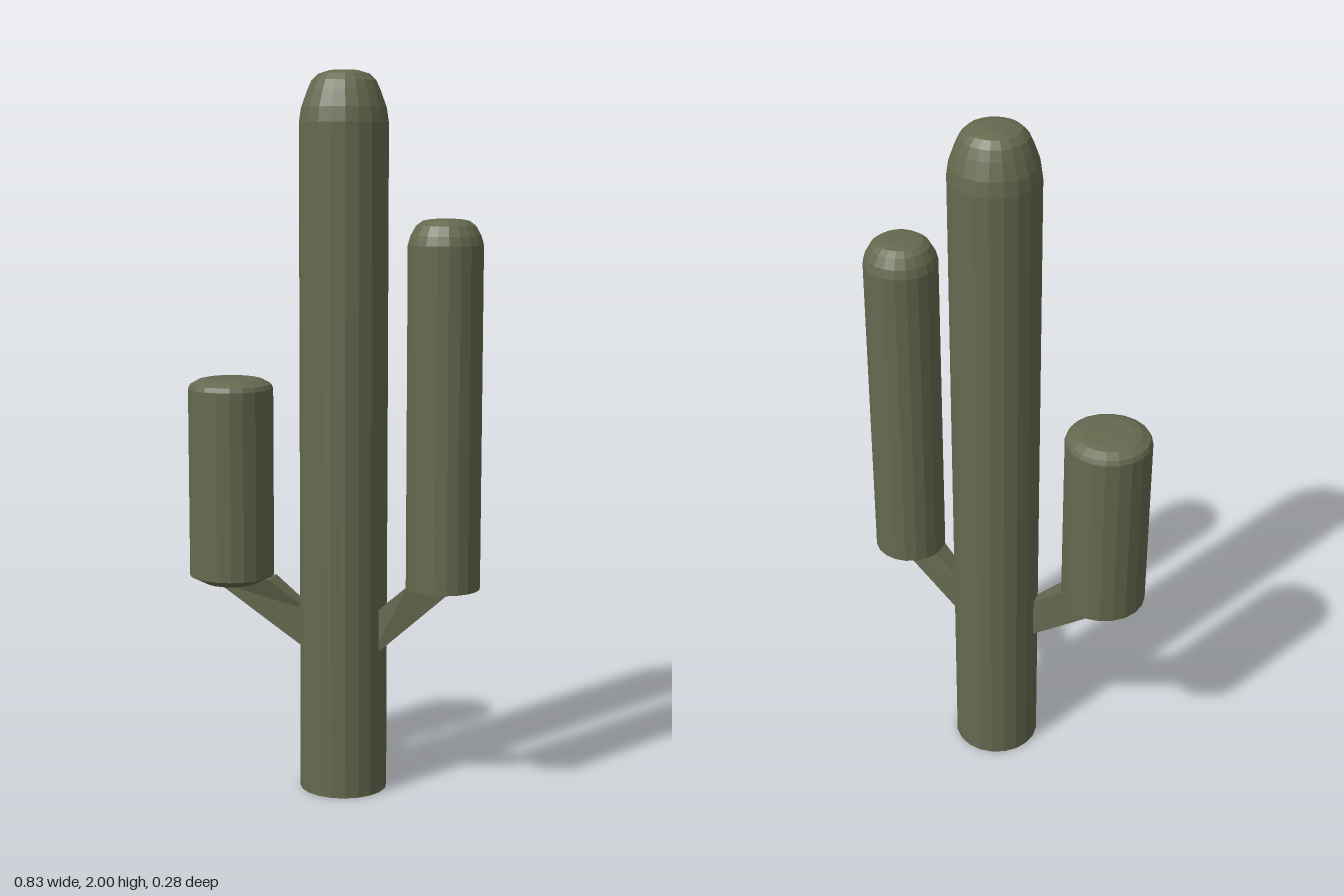
import * as THREE from 'three';

export function createModel() {
  const model = new THREE.Group();
  const green = new THREE.MeshStandardMaterial({ color: 0x66694f });
  green.name = 'cactus green';
  green.flatShading = true;

  const add = (name, geometry, x = 0, z = 0) => {
    const mesh = new THREE.Mesh(geometry, green);
    mesh.name = name;
    mesh.position.set(x, 0, z);
    model.add(mesh);
  };

  // Round column from [radius, height] points, bottom to top
  const column = (name, x, z, points) =>
    add(name, new THREE.LatheGeometry(points.map(p => new THREE.Vector2(...p)), 20), x, z);

  column('trunk', 0.021, -0.019, [
    [0, 0], [0.122, 0], [0.122, 1.86], [0.116, 1.9], [0.1, 1.945],
    [0.088, 1.972], [0.07, 1.99], [0.04, 1.999], [0, 2]]);
  column('rightArm', -0.298, 0.016, [
    [0, 0.575], [0.075, 0.578], [0.119, 0.6], [0.119, 1.13], [0.113, 1.143],
    [0.09, 1.156], [0.07, 1.16], [0, 1.162]]);
  column('leftArm', 0.314, 0.014, [
    [0, 0.6], [0.102, 0.6], [0.102, 1.535], [0.095, 1.56], [0.08, 1.587],
    [0.062, 1.6], [0.04, 1.604], [0, 1.606]]);

  // Tapered branch: a box whose two ends are moved to the given sections.
  // Each end holds the lower and upper [x, y] and the back and front z.
  const branch = (name, west, east) => {
    const g = new THREE.BoxGeometry(1, 1, 1);
    const p = g.attributes.position;
    for (let i = 0; i < p.count; i++) {
      const end = p.getX(i) < 0 ? west : east;
      const [x, y] = p.getY(i) < 0 ? end.low : end.high;
      p.setXYZ(i, x, y, p.getZ(i) < 0 ? end.z[0] : end.z[1]);
    }
    g.computeVertexNormals();
    add(name, g);
  };
  branch('rightBranch',
    { low: [-0.335, 0.582], high: [-0.18, 0.597], z: [-0.028, 0.045] },
    { low: [-0.07, 0.39], high: [-0.07, 0.508], z: [-0.023, 0.012] });
  branch('leftBranch',
    { low: [0.11, 0.385], high: [0.11, 0.505], z: [-0.022, 0.018] },
    { low: [0.352, 0.603], high: [0.222, 0.603], z: [-0.014, 0.045] });

  return model;
}
